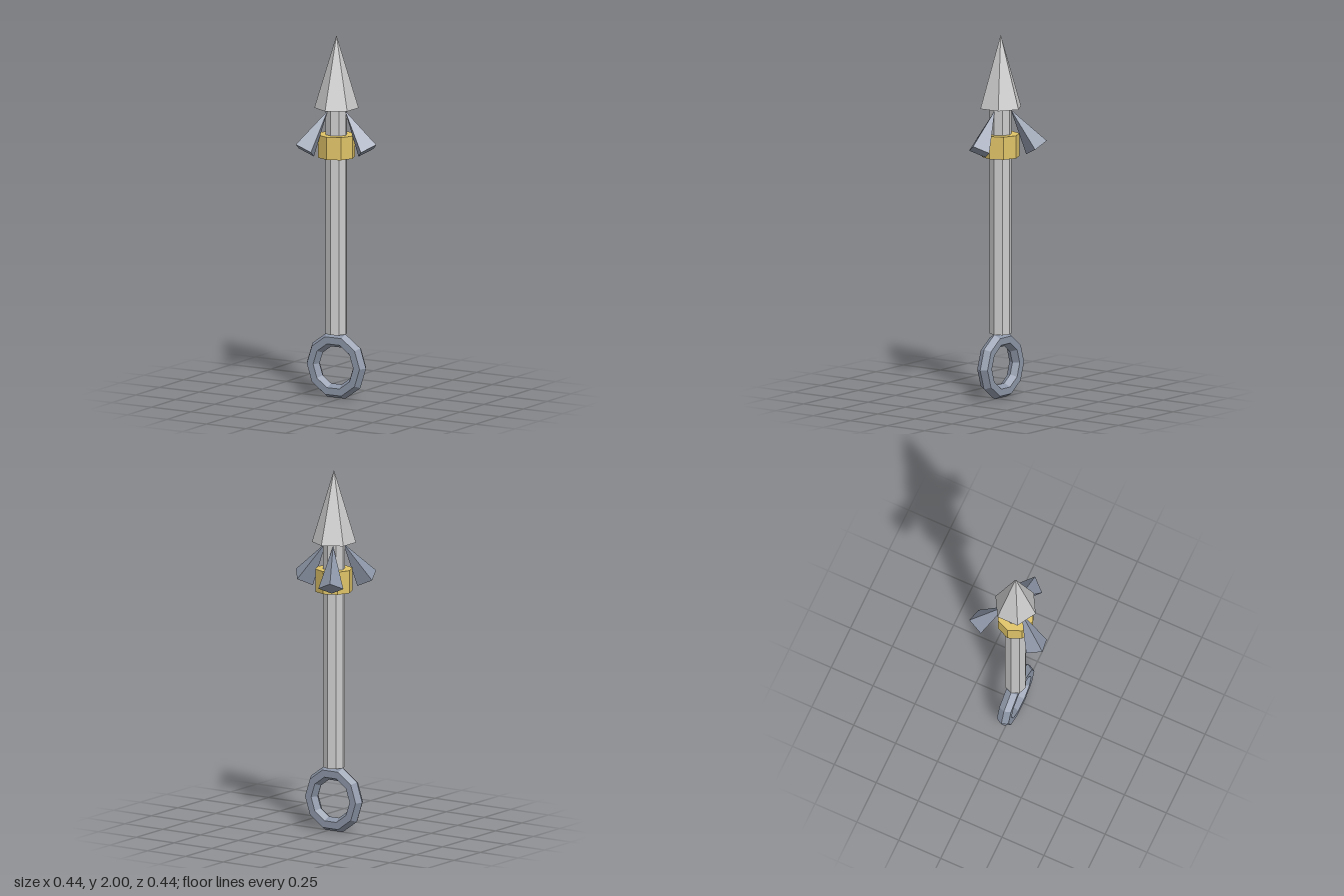
import * as THREE from 'three';

const mat = (color) => new THREE.MeshStandardMaterial({ color, flatShading: true });

export function createModel() {
  const model = new THREE.Group();
  model.name = 'ringHandledSpike';
  model.position.x = -0.032;

  const pale = mat(0xcccccc);
  const slate = mat(0x8e97a8);
  const gold = mat(0xe0c468);

  const add = (name, geometry, material, y, parent = model) => {
    const mesh = new THREE.Mesh(geometry, material);
    mesh.name = name;
    mesh.position.y = y;
    parent.add(mesh);
    return mesh;
  };

  // Six-sided point
  add('spearHead', new THREE.ConeGeometry(0.12, 0.4, 6), pale, 1.8);

  // Octagonal shaft running from the ring up to the point
  const bottom = 0.355, top = 1.6;
  add('shaft', new THREE.CylinderGeometry(0.06, 0.06, top - bottom, 8), pale, (top + bottom) / 2);

  // Gold collar below the barbs
  add('collar', new THREE.CylinderGeometry(0.103, 0.103, 0.125, 8), gold, 1.392);

  // Ten-sided ring with a hexagonal section at the foot
  add('ring', new THREE.TorusGeometry(0.147, 0.04, 6, 10), slate, 0.178);

  // Three four-sided barbs fanning outwards and down
  const tilt = 0.6, height = 0.25;
  for (let i = 0; i < 3; i++) {
    const arm = new THREE.Group();
    arm.name = 'barb' + (i + 1);
    arm.rotation.y = (i * Math.PI * 2) / 3;
    const barb = add('barbSpike', new THREE.ConeGeometry(0.068, height, 4), slate, 1.486, arm);
    barb.position.x = 0.125;
    barb.rotation.z = tilt;
    model.add(arm);
  }

  const root = new THREE.Group();
  root.add(model);
  return root;
}
